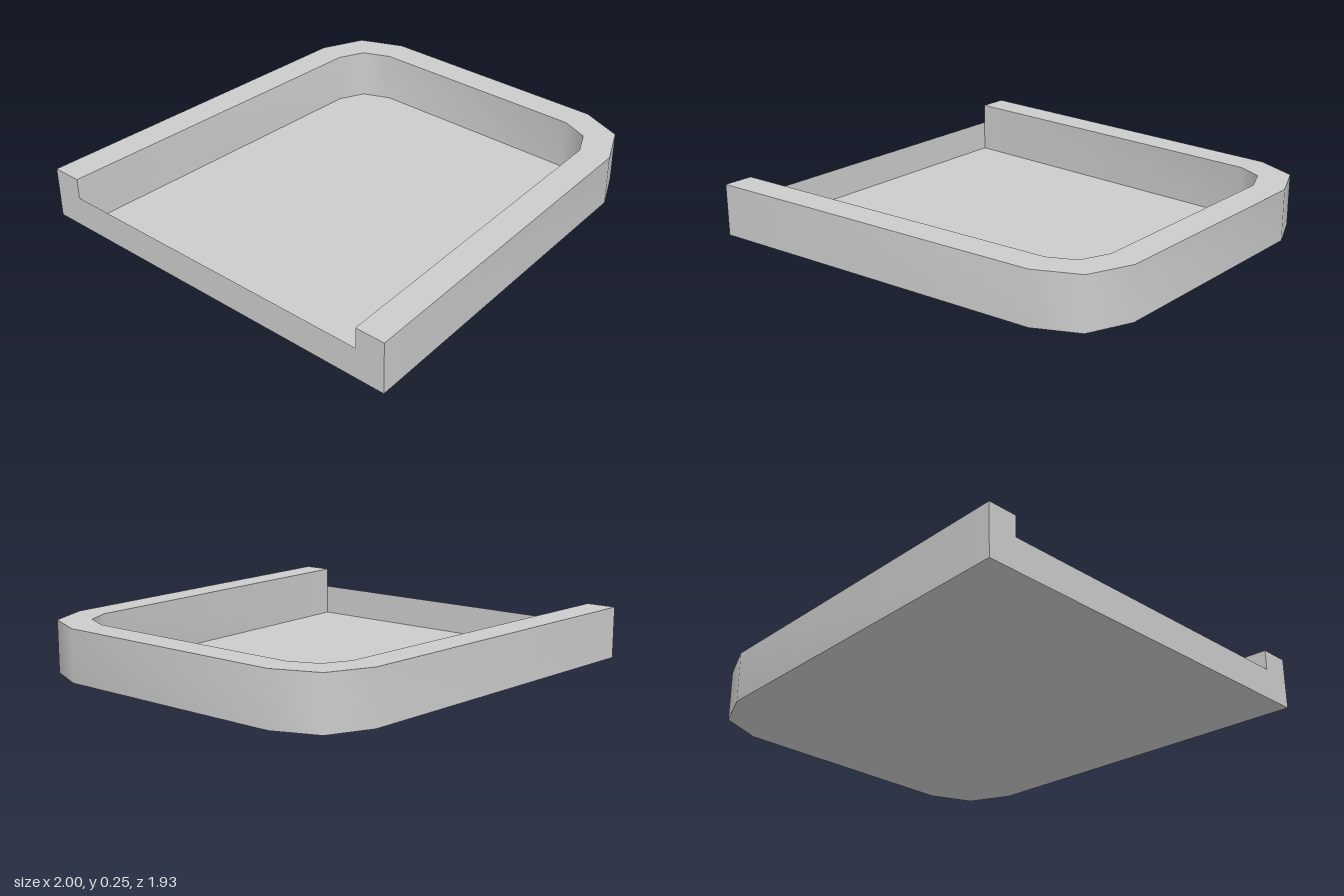
import * as THREE from 'three';
import { toCreasedNormals } from 'three/addons/utils/BufferGeometryUtils.js';

const HEIGHT = 0.245;
const LIP = 0.148;

// Half outlines as [x, half width]; mirrored across the centre line
const OUTER = [[-1, 0.963], [0.712, 0.881], [0.914, 0.788], [1, 0.582]];
const INNER = [[-1, 0.82], [0.68, 0.74], [0.803, 0.681], [0.859, 0.548]];

function outline(half) {
  const lower = half.map(([x, w]) => new THREE.Vector2(x, -w));
  const upper = half.map(([x, w]) => new THREE.Vector2(x, w)).reverse();
  return [...lower, ...upper];
}

export function createModel() {
  const group = new THREE.Group();
  group.name = 'tray';
  const grey = new THREE.MeshStandardMaterial({ color: 0xcccccc, side: THREE.DoubleSide });
  grey.name = 'light grey';

  const add = (name, geometry) => {
    const mesh = new THREE.Mesh(geometry, grey);
    mesh.name = name;
    group.add(mesh);
    return mesh;
  };

  // U-shaped wall with softly shaded corners, open at the left end
  const rimShape = new THREE.Shape([...outline(OUTER), ...outline(INNER).reverse()]);
  const rim = new THREE.ExtrudeGeometry(rimShape, { depth: HEIGHT, bevelEnabled: false });
  rim.rotateX(-Math.PI / 2);
  add('rim', toCreasedNormals(rim, 0.85));

  // Thin floor inside the wall
  const floor = new THREE.ShapeGeometry(new THREE.Shape(outline(INNER)));
  floor.rotateX(-Math.PI / 2);
  add('floor', floor);

  // Low thin lip closing the open end
  const lip = new THREE.PlaneGeometry(2 * INNER[0][1], LIP);
  lip.rotateY(-Math.PI / 2);
  add('endLip', lip).position.set(-1, LIP / 2, 0);

  return group;
}
